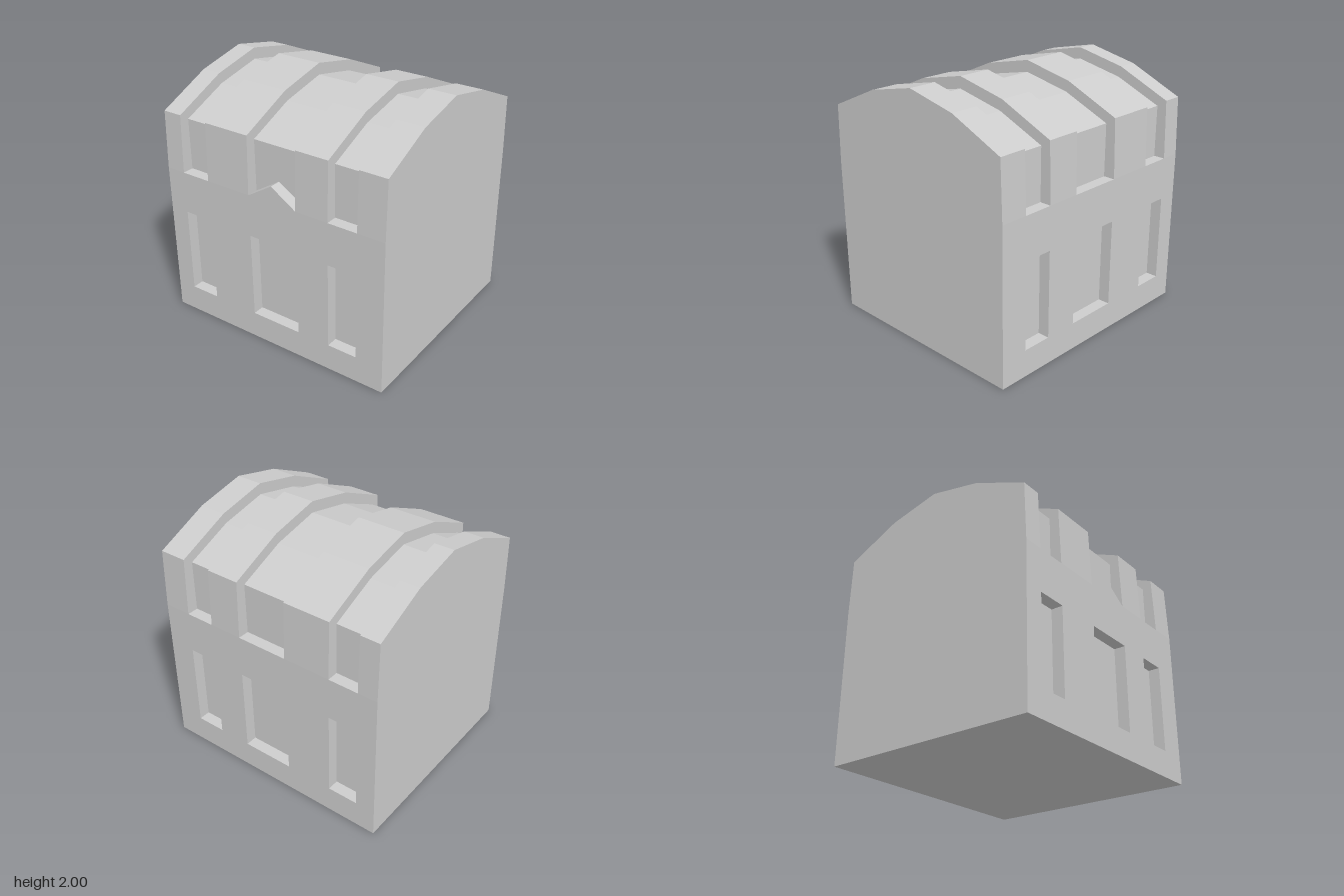
import * as THREE from 'three';

const WALL = 0.88;    // half depth at the wall face
const RECESS = 0.787; // half depth inside the recesses

// Mirrors half a cross-section (z, y from floor to ridge) and extrudes it from x0 to x1
function slab(half, x0, x1) {
  const other = half.filter(([z]) => z > 0).reverse().map(([z, y]) => [-z, y]);
  const shape = new THREE.Shape([...half, ...other].map(([z, y]) => new THREE.Vector2(z, y)));
  const geometry = new THREE.ExtrudeGeometry(shape, { depth: x1 - x0, bevelEnabled: false });
  return geometry.rotateY(Math.PI / 2).translate(x0, 0, 0);
}

export function createModel() {
  const model = new THREE.Group();
  model.name = 'vaultedBuilding';
  const stone = new THREE.MeshStandardMaterial({ color: 0xcccccc });
  stone.name = 'pale grey stone';

  const add = (name, geometry) => {
    const mesh = new THREE.Mesh(geometry, stone);
    mesh.name = name;
    model.add(mesh);
  };

  // Full-height piers, leaning in slightly below the faceted roof
  const pier = [[WALL, 0], [WALL, 1.25], [0.865, 1.715], [0.42, 1.91], [0, 2]];

  // Bays with a window notch, a sill and a sunken strip over the roof
  const bay = [
    [WALL, 0], [WALL, 0.215], [RECESS, 0.215], [RECESS, 0.91], [WALL, 0.91],
    [WALL, 1.25], [RECESS, 1.25], [RECESS, 1.66], [0.4, 1.823], [0, 1.907],
  ];

  // Alternate piers and bays along the length
  const edges = [-0.985, -0.825, -0.578, -0.187, 0.24, 0.515, 0.758, 0.983];
  for (let i = 0; i < edges.length - 1; i++) {
    const isBay = i % 2 === 1;
    add(isBay ? 'windowBay' : 'pier', slab(isBay ? bay : pier, edges[i], edges[i + 1]));
  }

  // Small gable on the sill of the middle front bay
  const gable = new THREE.Shape([
    new THREE.Vector2(edges[3], 1.25),
    new THREE.Vector2(edges[4], 1.25),
    new THREE.Vector2(0.028, 1.385),
  ]);
  add('gable', new THREE.ExtrudeGeometry(gable, { depth: WALL - RECESS, bevelEnabled: false })
    .translate(0, 0, RECESS));

  return model;
}
